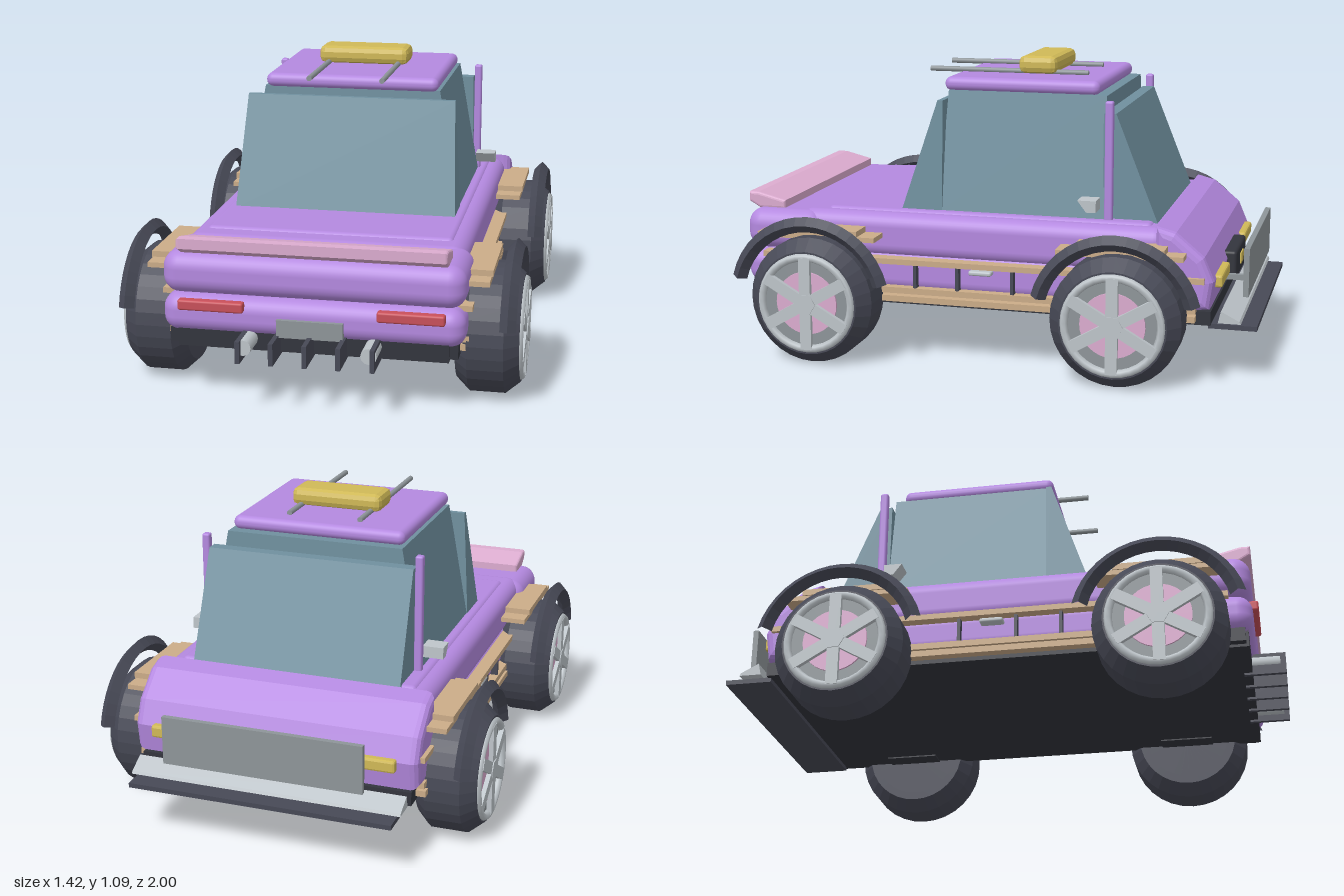
import * as THREE from 'three';
import { RoundedBoxGeometry } from 'three/addons/geometries/RoundedBoxGeometry.js';

export function createModel() {
  const car = new THREE.Group();
  car.name = 'car';
  const material = (name, color, flatShading = false) => {
    const m = new THREE.MeshStandardMaterial({ color, flatShading });
    m.name = name;
    return m;
  };
  const purple = material('purple paint', 0xb489e0);
  const pink = material('pink paint', 0xdcacd0);
  const glass = material('blue grey glass', 0x70909f);
  const rubber = material('dark rubber', 0x474956, true);
  const dark = material('dark underbody', 0x33353d);
  const tan = material('tan wood', 0xcbac88);
  const silver = material('silver', 0xbec5ca);
  const steel = material('grey steel', 0x8e9599);
  const red = material('red lamp', 0xc9505a);
  const yellow = material('yellow', 0xd0b957, true);

  const add = (name, geo, mat, x = 0, y = 0, z = 0, parent = car) => {
    const mesh = new THREE.Mesh(geo, mat);
    mesh.name = name;
    mesh.position.set(x, y, z);
    parent.add(mesh);
    return mesh;
  };
  // Boxes given by their extents on each axis
  const box = (name, mat, [x0, x1], [y0, y1], [z0, z1], r = 0, seg = 4) => {
    const s = [x1 - x0, y1 - y0, z1 - z0];
    const geo = r ? new RoundedBoxGeometry(...s, seg, r) : new THREE.BoxGeometry(...s);
    return add(name, geo, mat, (x0 + x1) / 2, (y0 + y1) / 2, (z0 + z1) / 2);
  };
  // Six sided block whose top and bottom differ in size
  const taper = (name, mat, y0, y1, bottom, top) => {
    const geo = new THREE.BoxGeometry(2, 2, 2);
    const p = geo.attributes.position;
    for (let i = 0; i < p.count; i++) {
      const up = p.getY(i) > 0;
      const [w, z0, z1] = up ? top : bottom;
      p.setXYZ(i, p.getX(i) * w, up ? y1 : y0, p.getZ(i) > 0 ? z1 : z0);
    }
    geo.computeVertexNormals();
    return add(name, geo, mat);
  };
  // Side profile of (z, y) points swept across the car
  const sweep = (name, mat, points, width, bevel) => {
    const shape = new THREE.Shape(points.map(([z, y]) => new THREE.Vector2(z, y)));
    const depth = width - 2 * bevel;
    const geo = new THREE.ExtrudeGeometry(shape, {
      depth, bevelEnabled: bevel > 0, bevelSize: bevel, bevelThickness: bevel, bevelSegments: 3,
    });
    geo.translate(0, 0, -depth / 2).rotateY(-Math.PI / 2);
    return add(name, geo, mat);
  };
  const rod = (name, mat, r, length, x, y, z) =>
    add(name, new THREE.CylinderGeometry(r, r, length, 12).rotateX(Math.PI / 2), mat, x, y, z);

  // Body shell
  box('lowerBody', purple, [-0.5, 0.5], [0.245, 0.4], [-0.8, 0.85], 0.05);
  box('upperBody', purple, [-0.5, 0.5], [0.37, 0.535], [-0.68, 0.7], 0.05);
  box('deckPanel', purple, [-0.445, 0.445], [0.49, 0.543], [-0.62, 0.6], 0.02);
  box('endUpper', purple, [-0.525, 0.525], [0.38, 0.53], [0.6, 0.9], 0.06);
  box('endLower', purple, [-0.525, 0.525], [0.245, 0.38], [0.6, 0.9], 0.055);
  sweep('slopedHood', purple,
    [[-0.67, 0.515], [-0.7, 0.505], [-0.79, 0.43], [-0.82, 0.36], [-0.81, 0.29], [-0.67, 0.275]], 1.05, 0.03);
  box('underbody', dark, [-0.5, 0.5], [0.205, 0.255], [-0.84, 0.87]);

  // Cabin
  taper('cabinGlass', glass, 0.535, 0.975, [0.41, -0.44, 0.18], [0.33, -0.43, 0.16]);
  taper('slantedWindow', glass, 0.535, 0.945, [0.412, 0.165, 0.32], [0.39, 0.165, 0.185]);
  taper('slantedWindow', glass, 0.535, 0.92, [0.39, -0.63, -0.43], [0.385, -0.475, -0.43]);
  box('roof', purple, [-0.325, 0.325], [0.972, 1.023], [-0.4, 0.18], 0.024);

  // Roof rack and case
  for (const s of [-1, 1]) rod('roofBar', steel, 0.01, 0.61, s * 0.135, 1.03, -0.015);
  box('roofCase', yellow, [-0.173, 0.173], [1.025, 1.09], [-0.205, -0.06], 0.022, 1);

  // Ducktail spoiler
  sweep('spoiler', pink,
    [[0.77, 0.535], [0.86, 0.535], [0.895, 0.555], [0.895, 0.575], [0.87, 0.575], [0.77, 0.55]], 0.93, 0.01);

  // Lamps, plate, exhausts and diffuser at the +z end
  for (const s of [-1, 1]) {
    const lamp = box('redLamp', red, [-0.115, 0.115], [0.335, 0.372], [0.885, 0.92], 0.008);
    lamp.position.x = s * 0.345;
    rod('exhaust', silver, 0.028, 0.13, s * 0.215, 0.237, 0.915);
  }
  box('plate', steel, [-0.115, 0.115], [0.258, 0.32], [0.895, 0.915]);
  box('diffuserBase', dark, [-0.47, 0.47], [0.195, 0.265], [0.8, 0.88]);
  for (let i = -2; i <= 2; i++)
    box('diffuserFin', rubber, [i * 0.115 - 0.008, i * 0.115 + 0.008], [0.187, 0.265], [0.85, 1]);

  // Grille, lamps, board and splitter at the -z end
  box('grille', dark, [-0.145, 0.145], [0.28, 0.39], [-0.885, -0.83], 0.012);
  box('grilleBadgePlate', yellow, [-0.04, 0.04], [0.32, 0.36], [-0.89, -0.88]);
  for (const s of [-1, 1]) {
    const lamp = box('paleLamp', yellow, [-0.105, 0.105], [0.33, 0.375], [-0.873, -0.83], 0.008, 1);
    lamp.position.x = s * 0.345;
  }
  box('board', steel, [-0.365, 0.365], [0.28, 0.455], [-0.955, -0.935]);
  for (const s of [-1, 1]) box('boardStay', steel, [s * 0.2 - 0.01, s * 0.2 + 0.01], [0.3, 0.32], [-0.94, -0.82]);
  box('splitter', rubber, [-0.48, 0.48], [0.19, 0.207], [-1, -0.83]);
  sweep('splitterWedge', silver, [[-0.945, 0.215], [-0.865, 0.215], [-0.87, 0.225], [-0.935, 0.258]].reverse().map(
    ([z, y]) => [-1.81 - z, y]), 0.99, 0).material = silver;

  // Wheel pieces, spinning about x
  const tyreGeo = new THREE.LatheGeometry(
    [[0.02, -0.11], [0.16, -0.11], [0.19, -0.11], [0.232, -0.065], [0.232, 0.06], [0.19, 0.11], [0.175, 0.11], [0.175, 0.085]]
      .map(([r, a]) => new THREE.Vector2(r, a)), 32).rotateZ(-Math.PI / 2);
  const disc = (r, h, n = 32) => new THREE.CylinderGeometry(r, r, h, n).rotateZ(-Math.PI / 2);

  const makeWheel = (side, z) => {
    const wheel = new THREE.Group();
    wheel.name = 'wheel';
    add('tyre', tyreGeo, rubber, 0, 0, 0, wheel);
    add('rimDish', disc(0.178, 0.02), steel, 0.09, 0, 0, wheel);
    add('pinkDisc', disc(0.115, 0.008), pink, 0.103, 0, 0, wheel);
    add('rimRing', new THREE.TorusGeometry(0.17, 0.015, 6, 32).rotateY(Math.PI / 2), silver, 0.108, 0, 0, wheel);
    for (let i = 0; i < 3; i++) {
      const spoke = add('spokePair', new THREE.BoxGeometry(0.018, 0.34, 0.042), silver, 0.114, 0, 0, wheel);
      spoke.rotation.x = i * Math.PI / 3;
    }
    add('hub', disc(0.04, 0.026, 6), silver, 0.114, 0, 0, wheel);
    wheel.position.set(side * 0.585, 0.235, z);
    if (side < 0) wheel.rotation.y = Math.PI;
    car.add(wheel);
  };

  // Diamond section wheel arch
  const arc = Math.PI * 0.84;
  const archGeo = new THREE.TorusGeometry(0.278, 0.028, 4, 18, arc)
    .rotateZ((Math.PI - arc) / 2).rotateY(Math.PI / 2);

  for (const s of [-1, 1]) {
    const span = (a, b) => (s > 0 ? [a, b] : [-b, -a]);
    for (const z of [0.59, -0.53]) {
      makeWheel(s, z);
      add('wheelArch', archGeo, rubber, s * 0.662, 0.24, z);
      box('fenderPlank', tan, span(0.49, 0.6), [0.465, 0.487], [z - 0.16, z + 0.16]);
      box('fenderPlankLower', tan, span(0.49, 0.595), [0.448, 0.466], [z - 0.225, z + 0.225]);
      const [a, b] = [z - 0.1, z + 0.1];
      box('axleBlock', dark, span(0.4, 0.5), [0.2, 0.28], [a, b]);
    }
    // Side rails, posts and handle
    box('upperRail', tan, span(0.49, 0.54), [0.36, 0.38], [-0.82, 0.82]);
    box('lowerRail', tan, span(0.48, 0.535), [0.22, 0.242], [-0.79, 0.82]);
    box('middleRail', tan, span(0.48, 0.53), [0.25, 0.272], [-0.79, 0.82]);
    for (const z of [0.235, 0.075, -0.13])
      box('railPost', rubber, span(0.49, 0.525), [0.265, 0.365], [z - 0.006, z + 0.006]);
    box('doorHandle', silver, span(0.49, 0.535), [0.335, 0.352], [-0.055, 0.03], 0.007);
    // Pillar and mirror
    box('pillar', purple, span(0.388, 0.417), [0.53, 0.967], [-0.47, -0.44], 0.008);
    const mirror = taper('mirror', silver, 0.58, 0.622, [0.038, -0.425, -0.39], [0.038, -0.425, -0.358]);
    mirror.position.x = s * 0.446;
  }
  return car;
}
